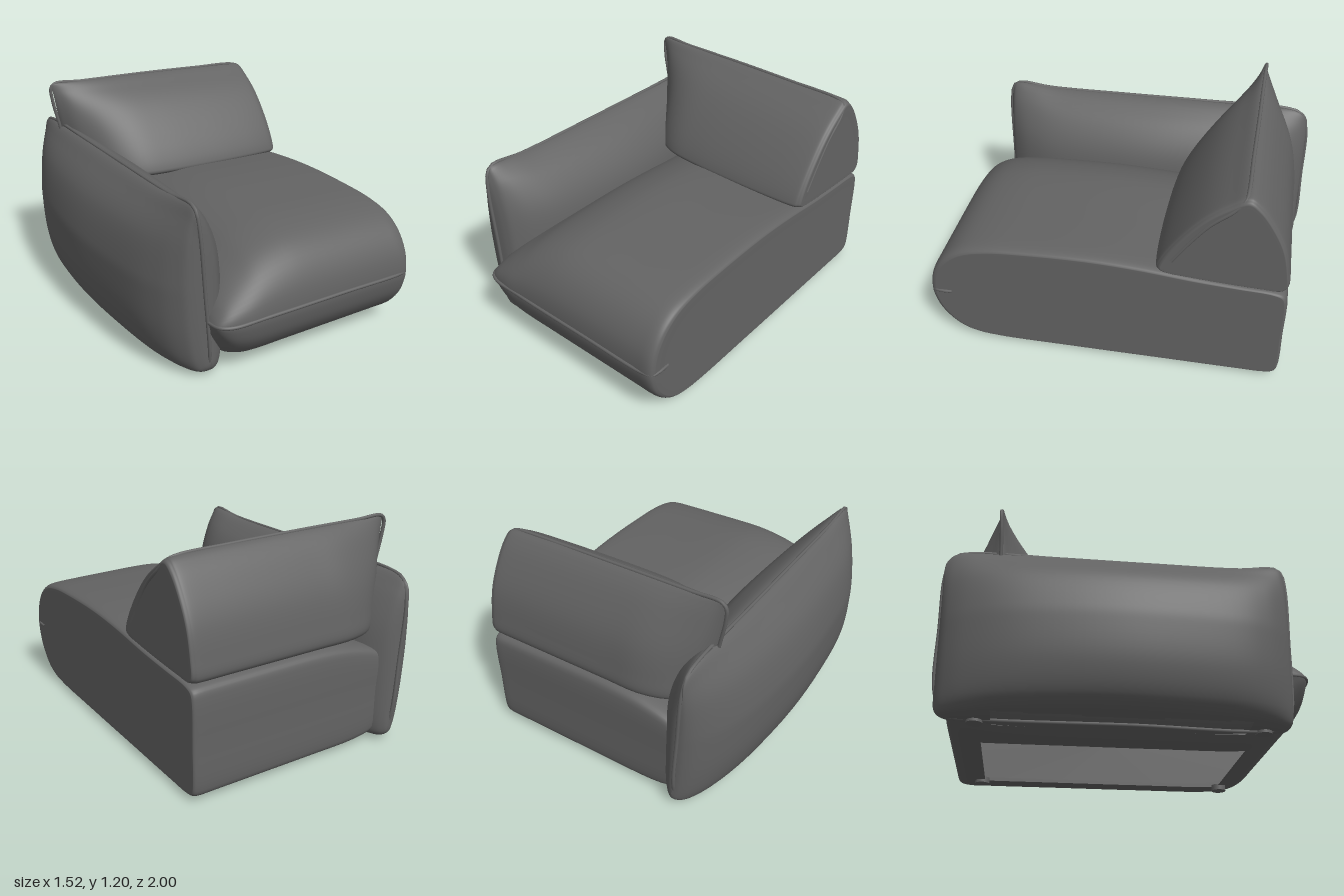
import * as THREE from 'three';

// Lofts a closed 2D section through smoothly interpolated station rows.
// place(a, b, row) positions a section point; skip(centre) leaves openings.
function loft(section, rows, place, { cap = false, skip = () => false, n = 96, m = 72 } = {}) {
  const outline = new THREE.CatmullRomCurve3(
    section.map(([a, b]) => new THREE.Vector3(a, b, 0)), true, 'centripetal');
  const ring = [];
  for (let i = 0; i < n; i++) ring.push(outline.getPoint(i / n));
  const columns = rows[0].map((_, c) =>
    new THREE.SplineCurve(rows.map((r, i) => new THREE.Vector2(i, r[c]))));
  const verts = [];
  for (let j = 0; j <= m; j++) {
    const row = columns.map((c) => c.getPoint(j / m).y);
    for (const p of ring) verts.push(new THREE.Vector3(...place(p.x, p.y, row)));
  }
  const index = [];
  for (let j = 0; j < m; j++) {
    for (let i = 0; i < n; i++) {
      const a = j * n + i, b = j * n + (i + 1) % n, c = a + n, d = b + n;
      const mid = verts[a].clone().add(verts[d]).multiplyScalar(0.5);
      if (!skip(mid)) index.push(a, b, c, b, d, c);
    }
  }
  if (cap) {
    const centre = new THREE.Vector3();
    for (let i = 0; i < n; i++) centre.addScaledVector(verts[m * n + i], 1 / n);
    verts.push(centre);
    for (let i = 0; i < n; i++) index.push(m * n + i, m * n + (i + 1) % n, verts.length - 1);
  }
  const geo = new THREE.BufferGeometry().setFromPoints(verts);
  geo.setIndex(index);
  geo.computeVertexNormals();
  return geo;
}

function piping(points, closed = false) {
  const curve = new THREE.CatmullRomCurve3(
    points.map((p) => new THREE.Vector3(...p)), closed, 'centripetal');
  return new THREE.TubeGeometry(curve, 140, 0.01, 8, closed);
}

export function createModel() {
  const model = new THREE.Group();
  const fabric = new THREE.MeshStandardMaterial({ color: 0x636363, side: THREE.DoubleSide });
  fabric.name = 'grey upholstery';
  const add = (name, geo) => {
    const mesh = new THREE.Mesh(geo, fabric);
    mesh.name = name;
    model.add(mesh);
    return mesh;
  };

  // Seat: side profile (z, y) swept along x, pinched to a seam at the arm
  const seatSection = [
    [0.985, 0.33], [0.965, 0.45], [0.9, 0.56], [0.8, 0.635], [0.65, 0.675], [0.45, 0.692],
    [0.1, 0.7], [-0.2, 0.682], [-0.5, 0.645], [-0.7, 0.625], [-0.87, 0.61], [-0.92, 0.59],
    [-0.935, 0.55], [-0.937, 0.3], [-0.935, 0.07], [-0.92, 0.035], [-0.87, 0.02], [-0.75, 0.018],
    [-0.3, 0.018], [0.2, 0.018], [0.68, 0.025], [0.8, 0.05], [0.88, 0.1], [0.95, 0.19], [0.978, 0.27],
  ];
  // x, top fullness, bottom fullness, front reach, edge inset
  const seatRows = [
    [-0.48, 0, 0, 0.9, 1], [-0.46, 0.16, 0.3, 0.95, 1], [-0.42, 0.34, 0.58, 0.975, 1],
    [-0.36, 0.5, 0.83, 0.99, 1], [-0.28, 0.66, 0.95, 1, 1], [-0.18, 0.83, 1, 1, 1],
    [-0.05, 0.95, 1, 1, 1], [0.1, 1, 1, 1, 1], [0.4, 0.99, 1, 1, 1], [0.62, 0.975, 1, 1, 1],
    [0.7, 0.96, 1, 1, 1], [0.735, 0.945, 1, 0.995, 0.99], [0.748, 0.935, 1, 0.985, 0.97],
    [0.75, 0.93, 1, 0.98, 0.94], [0.75, 0.93, 1, 0.98, 0.8],
  ];
  add('seatCushion', loft(seatSection, seatRows, (z, y, [x, top, bottom, reach, s]) => {
    const k = Math.max(0, y > 0.33 ? top : bottom);
    const square = THREE.MathUtils.smoothstep(-z, 0.3, 0.9);
    const full = THREE.MathUtils.lerp(k, Math.pow(k, 0.35), square);
    const py = 0.33 + (y - 0.33) * full * s;
    return [x, py, (z > 0 ? z * reach : z) * (0.6 + 0.4 * s)];
  }, {
    cap: true,
    skip: (p) => p.y < 0.04 && p.x > -0.1 && p.x < 0.6 && p.z > -0.75 && p.z < 0.68,
  }));
  add('seatPiping', piping([
    [-0.475, 0.33, 0.6], [-0.475, 0.33, 0.85], [-0.455, 0.33, 0.935], [-0.4, 0.33, 0.97],
    [-0.2, 0.335, 0.983], [0.3, 0.335, 0.985], [0.68, 0.33, 0.98], [0.735, 0.33, 0.965],
    [0.748, 0.33, 0.92], [0.748, 0.33, 0.86],
  ]));

  // Arm: cross-section (x, y) swept along z, pinched to an upright seam at both ends
  const seamX = (y) => -0.53 + 0.087 * (0.95 - y);
  const armSection = [
    [-0.53, 0.95], [-0.4, 0.88], [-0.31, 0.78], [-0.25, 0.66], [-0.225, 0.5], [-0.225, 0.3],
    [-0.24, 0.12], [-0.28, 0.05], [-0.36, 0.02], [-0.46, 0.015], [-0.56, 0.02], [-0.63, 0.04],
    [-0.69, 0.1], [-0.74, 0.25], [-0.755, 0.45], [-0.75, 0.55], [-0.7, 0.75], [-0.62, 0.87],
  ];
  // z, side fullness, top height, bottom depth
  const armRows = [
    [0.858, 0, 0.76, 0.84], [0.845, 0.22, 0.9, 0.93], [0.81, 0.42, 0.99, 0.99],
    [0.7, 0.68, 0.985, 1], [0.5, 0.88, 0.955, 1], [0.1, 1, 0.955, 1], [-0.2, 1, 0.96, 1],
    [-0.5, 0.9, 0.96, 1], [-0.7, 0.76, 0.96, 1], [-0.85, 0.56, 0.96, 1],
    [-0.94, 0.34, 0.92, 0.98], [-0.98, 0.15, 0.82, 0.92], [-0.99, 0, 0.7, 0.82],
  ];
  add('armCushion', loft(armSection, armRows, (x, y, [z, full, top, bottom]) => {
    const sx = seamX(y);
    return [sx + (x - sx) * full, 0.48 + (y - 0.48) * (y > 0.48 ? top : bottom), z];
  }, { skip: (p) => p.y < 0.035 && p.x > -0.56 && p.x < -0.36 && p.z > -0.7 && p.z < 0.62 }));
  const armSeam = [
    [0.945, 0.8], [0.928, 0.6], [0.927, 0.1], [0.93, -0.4], [0.93, -0.85], [0.905, -0.94],
    [0.82, -0.98], [0.5, -0.99], [0.15, -0.985], [0.035, -0.93], [0.02, -0.8], [0.02, 0],
    [0.02, 0.75], [0.05, 0.825], [0.12, 0.853], [0.5, 0.86], [0.83, 0.857], [0.92, 0.838],
  ];
  add('armPiping', piping(armSeam.map(([y, z]) => [seamX(y), y, z]), true));

  // Backrest: side profile (z, y) swept along x, pinched at the arm end
  const backSection = [
    [-0.7, 1.2], [-0.6, 1.145], [-0.5, 1.065], [-0.4, 0.95], [-0.3, 0.8], [-0.255, 0.705],
    [-0.25, 0.675], [-0.28, 0.655], [-0.4, 0.64], [-0.6, 0.625], [-0.8, 0.615], [-0.905, 0.615],
    [-0.932, 0.645], [-0.925, 0.75], [-0.895, 0.9], [-0.84, 1.03], [-0.76, 1.155],
  ];
  // x, front fullness, rear fullness, height, edge inset
  const backRows = [
    [-0.59, 0, 0, 0.97, 1], [-0.57, 0.12, 0.2, 0.985, 1], [-0.5, 0.38, 0.55, 0.985, 1],
    [-0.35, 0.7, 0.84, 0.98, 1], [-0.2, 0.9, 1, 0.975, 1], [0, 0.97, 1, 0.97, 1],
    [0.3, 1, 1, 0.96, 1], [0.55, 1, 1, 0.95, 1], [0.7, 0.98, 1, 0.94, 1],
    [0.735, 0.97, 1, 0.93, 0.98], [0.748, 0.96, 1, 0.92, 0.96], [0.75, 0.96, 1, 0.91, 0.92],
    [0.75, 0.96, 1, 0.91, 0.75],
  ];
  add('backCushion', loft(backSection, backRows, (z, y, [x, front, rear, height, s]) => {
    const pz = -0.7 + (z + 0.7) * (z > -0.7 ? front : rear);
    const py = 0.62 + (y - 0.62) * height;
    const lean = 0.16 * (1.2 - y) * THREE.MathUtils.smoothstep(-x, 0.3, 0.59);
    return [x + lean, 0.85 + (py - 0.85) * s, -0.62 + (pz + 0.62) * s];
  }, { cap: true }));
  add('backPiping', piping([
    [-0.505, 0.68, -0.7], [-0.55, 0.92, -0.7], [-0.585, 1.08, -0.705], [-0.59, 1.165, -0.71],
    [-0.565, 1.19, -0.71], [-0.4, 1.186, -0.705], [0, 1.182, -0.7], [0.4, 1.173, -0.692],
    [0.68, 1.163, -0.688], [0.728, 1.145, -0.68], [0.745, 1.09, -0.63], [0.746, 0.99, -0.52],
    [0.746, 0.86, -0.42], [0.746, 0.74, -0.34],
  ]));

  // Feet
  for (const x of [-0.44, 0.62]) {
    for (const z of [-0.78, 0.7]) {
      add('foot', new THREE.CylinderGeometry(0.043, 0.043, 0.035, 24)).position.set(x, 0.0175, z);
    }
  }
  return model;
}
